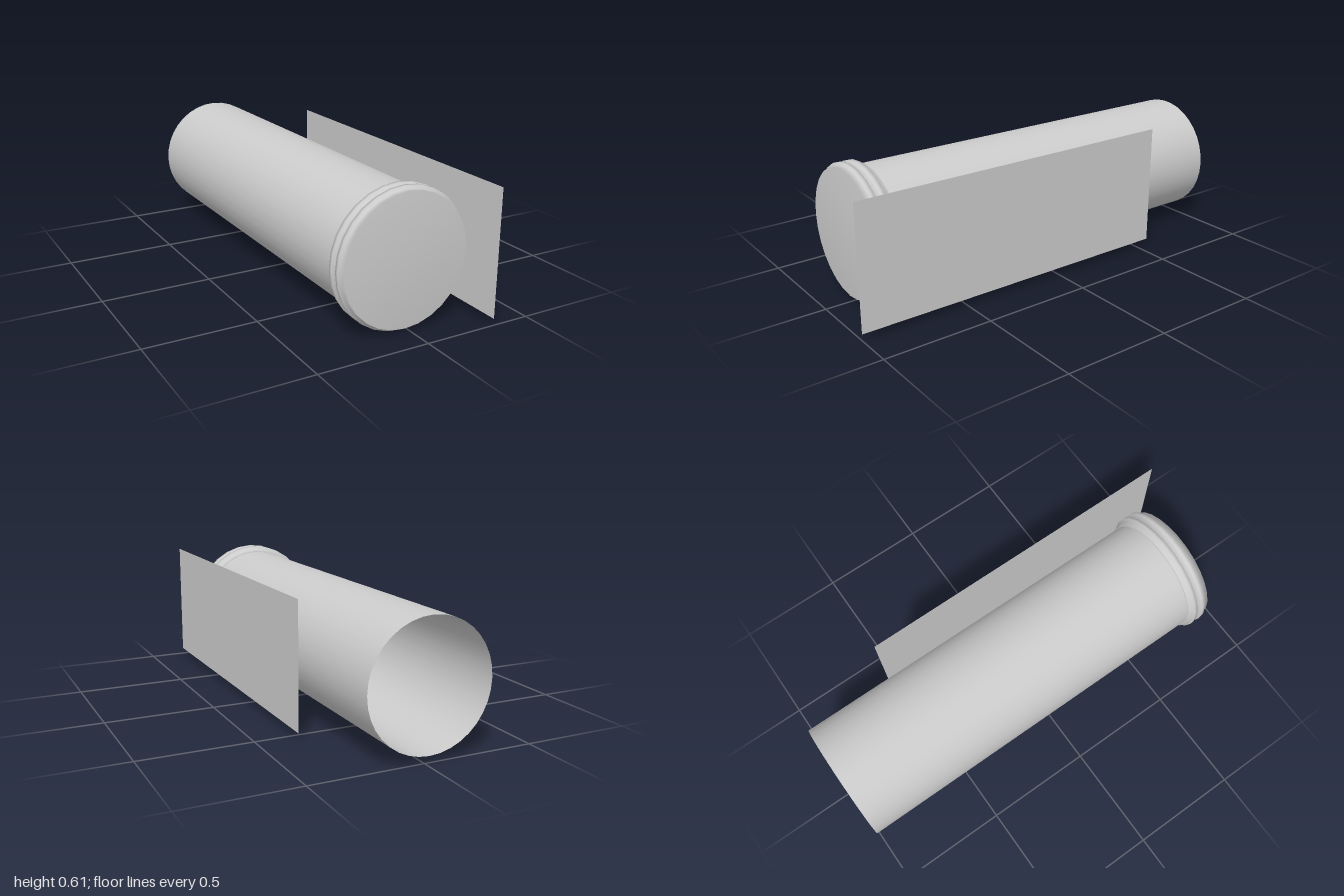
import * as THREE from 'three';

const AXIS_X = -0.023, AXIS_Y = 0.306;

// Revolves a [radius, z] profile around the pipe's long axis
function revolve(name, profile, sides, material) {
  const points = profile.map(([r, z]) => new THREE.Vector2(r, z));
  const geometry = new THREE.LatheGeometry(points, sides);
  geometry.rotateX(Math.PI / 2);
  const mesh = new THREE.Mesh(geometry, material);
  mesh.name = name;
  mesh.position.set(AXIS_X, AXIS_Y, 0);
  return mesh;
}

export function createModel() {
  const group = new THREE.Group();
  group.name = 'cappedPipe';
  const material = new THREE.MeshStandardMaterial({ color: 0xcccccc, side: THREE.DoubleSide });

  // Long thin-walled pipe, open at the back
  group.add(revolve('pipe', [[0.278, -1], [0.278, 0.865]], 36, material));

  // End cap: sleeve with two raised bands, closed by a flat, softly shaded face
  const sleeve = 0.29, band = 0.305;
  const profile = [[0.278, 0.76], [sleeve, 0.762]];
  for (const z of [0.784, 0.83]) {
    profile.push([sleeve, z], [band, z], [band, z + 0.016], [sleeve, z + 0.016]);
  }
  profile.push([sleeve, 0.873], [0, 0.873]);
  group.add(revolve('endCap', profile, 28, material));

  // Thin upright panel beside the pipe
  const panel = new THREE.Mesh(new THREE.PlaneGeometry(1.56, 0.562), material);
  panel.name = 'sidePanel';
  panel.rotation.y = Math.PI / 2;
  panel.position.set(0.328, 0.311, 0.22);
  group.add(panel);

  return group;
}
